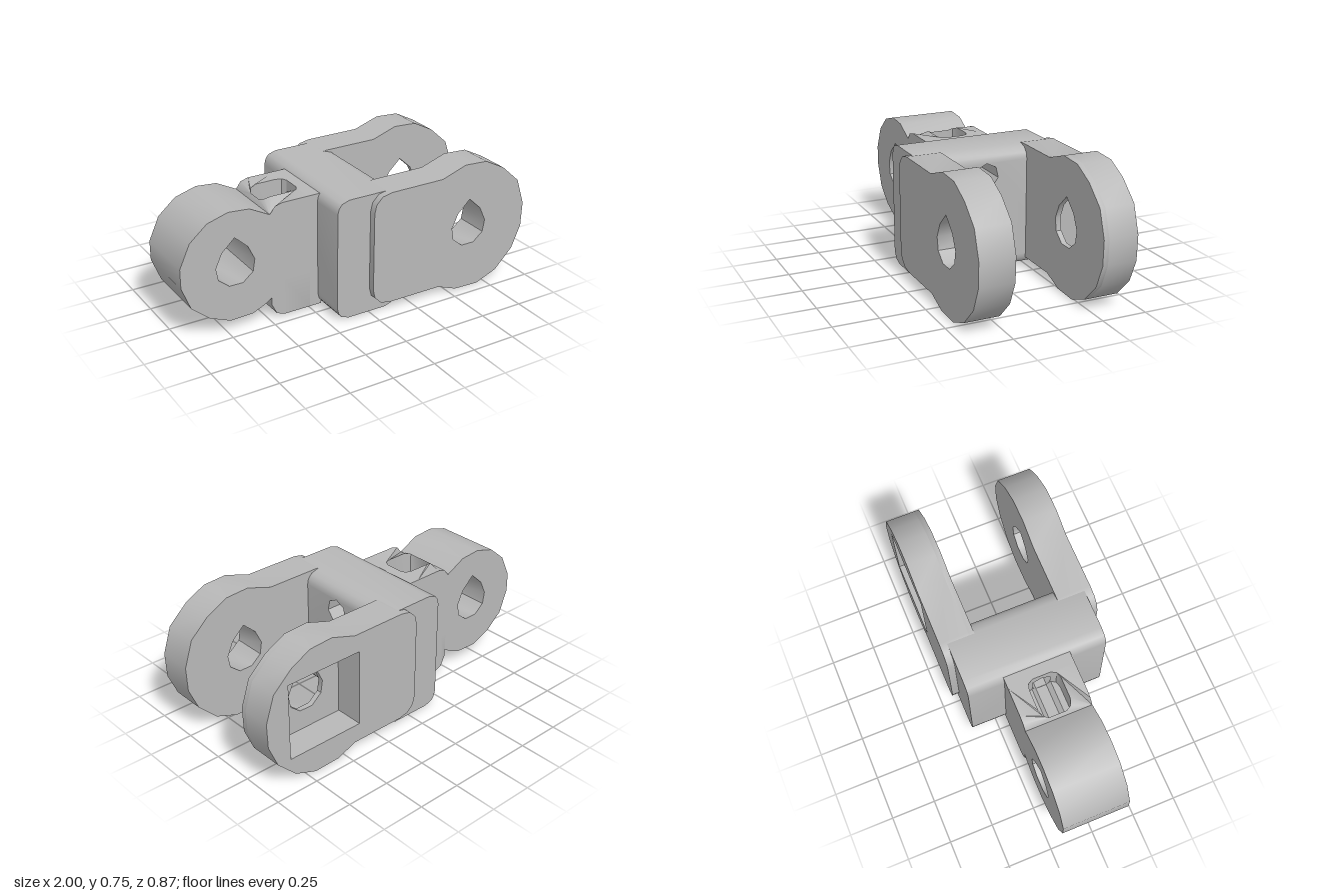
import * as THREE from 'three';
import { toCreasedNormals } from 'three/addons/utils/BufferGeometryUtils.js';

const MID_Z = 0.19;               // half thickness of the tongue
const BOLT_Y = [0.555, 0.195];    // heights of the two lengthwise bolt holes
const SLOT_FLOOR = 0.515, SLOT_ROOF = 0.228;

const vecs = (pts) => pts.map(([x, y]) => new THREE.Vector2(x, y));
const outline = (pts, holes = []) => {
  const s = new THREE.Shape(vecs(pts));
  holes.forEach((h) => s.holes.push(new THREE.Path(vecs(h))));
  return s;
};
const rect = (x0, x1, y0, y1) => [[x0, y0], [x1, y0], [x1, y1], [x0, y1]];

// Teardrop pin hole, point upwards
const teardrop = (cx) => [[0, 0.54], [0.075, 0.47], [0.112, 0.39], [0.1, 0.32], [0.04, 0.27],
  [-0.04, 0.27], [-0.1, 0.32], [-0.112, 0.39], [-0.075, 0.47]].map(([x, y]) => [cx + x, y]);

// Seven-sided bolt hole, point upwards
const boltHole = (cy) => Array.from({ length: 7 }, (_, i) => {
  const a = (i / 7) * Math.PI * 2;
  return [0.07 * Math.sin(a), cy + 0.07 * Math.cos(a)];
});

// Extrudes a side profile from z0 to z1
function slabZ(shape, z0, z1) {
  const g = new THREE.ExtrudeGeometry(shape, { depth: z1 - z0, bevelEnabled: false });
  return g.translate(0, 0, z0);
}

// Extrudes a z/y section along x; stations are [x, inset of top and bottom]
function slabX(shape, stations, y0, y1) {
  const n = stations.length - 1;
  const g = new THREE.ExtrudeGeometry(shape, { depth: n, steps: n, bevelEnabled: false });
  const p = g.attributes.position;
  for (let i = 0; i < p.count; i++) {
    const [x, inset] = stations[Math.round(p.getZ(i))];
    let y = p.getY(i);
    if (Math.abs(y - y1) < 1e-4) y -= inset;
    else if (Math.abs(y - y0) < 1e-4) y += inset;
    p.setXYZ(i, p.getX(i), y, x);
  }
  return g.rotateY(Math.PI / 2);
}

// Half of the neck with an open slot; the far corner is rounded off by lowering its top
function slotLayer(height, cornerDrop) {
  const side = [[-0.25, 0.05], [-0.265, 0.08], [-0.3, 0.09], [-0.42, 0.09], [-0.455, 0.078], [-0.47, 0.05]];
  const outer = [[-0.485, MID_Z], [-0.455, MID_Z], [-0.41, MID_Z], [-0.25, MID_Z]];
  const flip = (pts) => pts.map(([x, z]) => [x, -z]);
  const pts = [...outer, ...side, ...flip(side).reverse(), ...flip(outer).reverse()];
  const g = new THREE.ExtrudeGeometry(outline(pts), { depth: height, bevelEnabled: false });
  g.rotateX(-Math.PI / 2);
  const p = g.attributes.position;
  for (let i = 0; i < p.count; i++) {
    if (p.getY(i) < height - 1e-4) continue;
    const t = Math.min(1, Math.max(0, (-0.41 - p.getX(i)) / 0.075));
    p.setY(i, height - cornerDrop * (1 - Math.sqrt(1 - t * t * 0.98)));
  }
  return g;
}

export function createModel() {
  const model = new THREE.Group();
  model.name = 'clevisLink';
  const grey = new THREE.MeshStandardMaterial({ color: 0xb8b8b8 });
  grey.name = 'grey';
  const add = (name, geometry, parent = model) => {
    const mesh = new THREE.Mesh(toCreasedNormals(geometry, 0.7), grey);
    mesh.name = name;
    parent.add(mesh);
  };
  const group = (name) => {
    const g = new THREE.Group();
    g.name = name;
    model.add(g);
    return g;
  };

  // Round eye at the end of the tongue
  const eye = [[-0.485, 0.62], [-0.6, 0.68], [-0.72, 0.69], [-0.84, 0.655], [-0.94, 0.57], [-1, 0.44],
    [-1, 0.33], [-0.95, 0.2], [-0.85, 0.115], [-0.73, 0.065], [-0.6, 0.07], [-0.53, 0.1], [-0.485, 0.128]];
  add('tongueEye', slabZ(outline(eye, [teardrop(-0.69)]), -MID_Z, MID_Z));

  // Neck: grooved core, slotted upper and lower halves, drilled end wall
  const neck = group('neck');
  const core = [[-MID_Z, SLOT_ROOF], [-0.055, SLOT_ROOF], [-0.03, 0.258], [0.03, 0.258], [0.055, SLOT_ROOF],
    [MID_Z, SLOT_ROOF], [MID_Z, SLOT_FLOOR], [0.055, SLOT_FLOOR], [0.03, 0.487], [-0.03, 0.487],
    [-0.055, SLOT_FLOOR], [-MID_Z, SLOT_FLOOR]];
  add('neckCore', slabX(outline(core), [[-0.45, 0], [-0.25, 0]], 0, 1), neck);
  add('neckCoreEnd', slabX(outline(rect(-MID_Z, MID_Z, SLOT_ROOF, SLOT_FLOOR)),
    [[-0.485, 0], [-0.45, 0]], 0, 1), neck);
  add('upperSlot', slotLayer(0.67 - SLOT_FLOOR, 0.06).translate(0, SLOT_FLOOR, 0), neck);
  add('lowerSlot', slotLayer(SLOT_ROOF - 0.01, 0.09).rotateX(Math.PI).translate(0, SLOT_ROOF, 0), neck);
  add('neckWall', slabX(outline(rect(-MID_Z, MID_Z, 0.01, 0.67), BOLT_Y.map(boltHole)),
    [[-0.25, 0], [-0.18, 0]], 0.01, 0.67), neck);

  // Cross block with rounded edges and two bolt holes
  const stations = [[-0.2, 0.07], [-0.193, 0.04], [-0.175, 0.015], [-0.13, 0],
    [0.1, 0], [0.145, 0.015], [0.168, 0.04], [0.175, 0.07]];
  add('crossBlock', slabX(outline(rect(-0.395, 0.395, 0.005, 0.697), BOLT_Y.map(boltHole)),
    stations, 0.005, 0.697));

  // Fork arms; the back one has a square nut pocket on its outer face
  const arm = [[0, 0.15], [0.012, 0.1], [0.05, 0.062], [0.11, 0.05], [0.43, 0.05], [0.55, 0.005], [0.7, 0],
    [0.83, 0.05], [0.94, 0.16], [0.995, 0.29], [1, 0.43], [0.95, 0.58], [0.84, 0.68], [0.72, 0.742],
    [0.58, 0.75], [0.43, 0.7], [0.11, 0.7], [0.05, 0.688], [0.012, 0.65], [0, 0.6]];
  const pinHole = teardrop(0.62);
  add('frontArm', slabZ(outline(arm, [pinHole]), 0.24, 0.435));
  const backArm = group('backArm');
  add('pocketFloor', slabZ(outline(arm, [pinHole]), -0.27, -0.24), backArm);
  add('pocketRim', slabZ(outline(arm, [rect(0.4, 0.86, 0.155, 0.595)]), -0.435, -0.27), backArm);

  return model;
}
